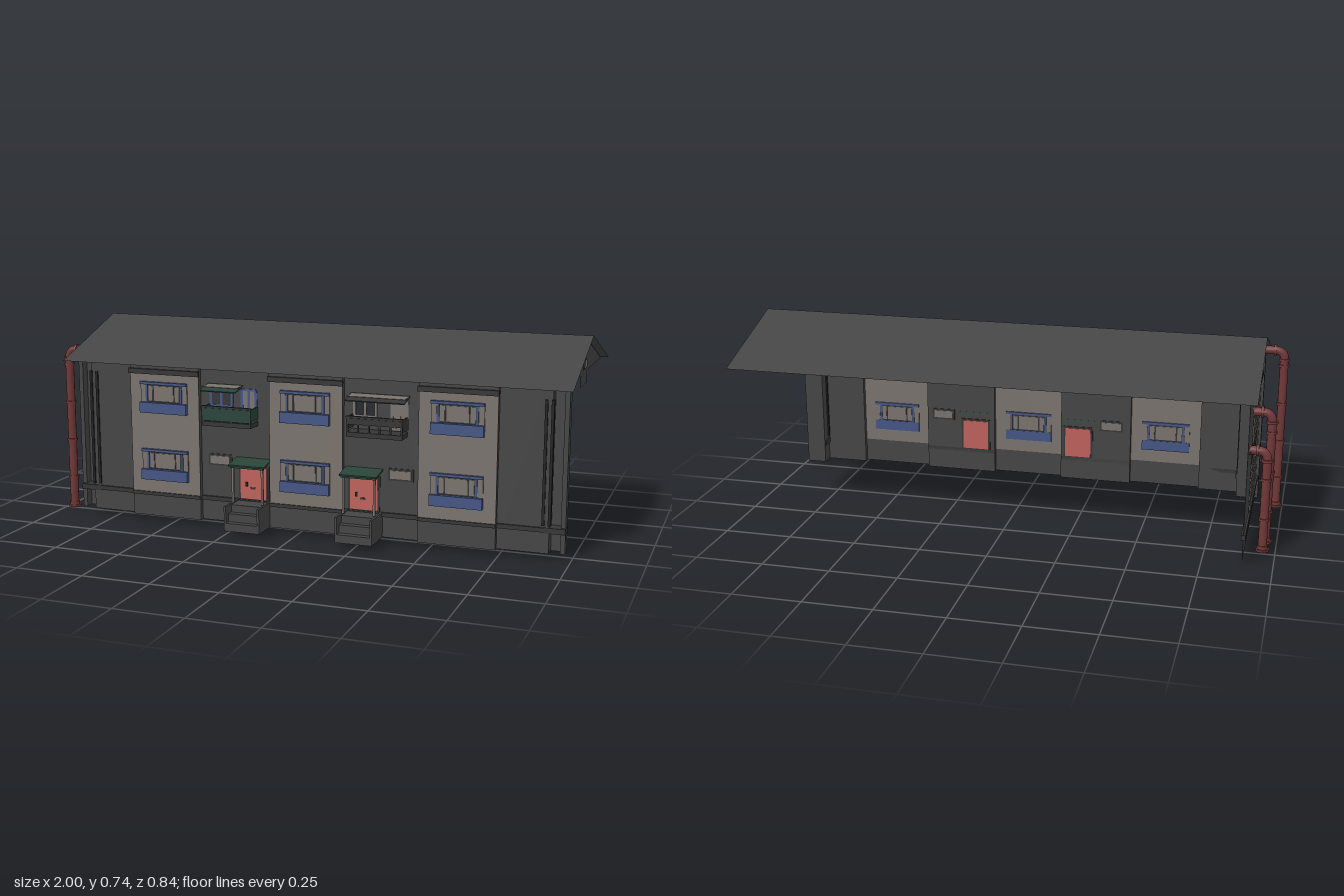
import * as THREE from 'three';

const mat = (name, color) => {
  const m = new THREE.MeshStandardMaterial({ color, side: THREE.DoubleSide });
  m.name = name;
  return m;
};

export function createModel() {
  const model = new THREE.Group();
  const wall = mat('dark concrete', 0x454545), trim = mat('dark trim', 0x363636);
  const black = mat('black lintel', 0x222222), beige = mat('beige plaster', 0x7a736e);
  const blue = mat('blue frame', 0x455684), green = mat('green metal', 0x29443a);
  const red = mat('red door', 0xbe625c), rust = mat('rusty pipe', 0x703837);

  const add = (name, geo, m, parent = model) => {
    const mesh = new THREE.Mesh(geo, m);
    mesh.name = name;
    parent.add(mesh);
    return mesh;
  };
  const box = (name, m, x0, x1, y0, y1, z0, z1, parent = model) => {
    const b = add(name, new THREE.BoxGeometry(x1 - x0, y1 - y0, z1 - z0), m, parent);
    b.position.set((x0 + x1) / 2, (y0 + y1) / 2, (z0 + z1) / 2);
    return b;
  };
  const group = (name) => {
    const g = new THREE.Group();
    g.name = name;
    model.add(g);
    return g;
  };
  // flat outline; holes are [x0, x1, y0, y1]
  const sheet = (pts, holes = []) => {
    const s = new THREE.Shape(pts.map(p => new THREE.Vector2(...p)));
    for (const [a, b, c, d] of holes) {
      s.holes.push(new THREE.Path([[a, c], [a, d], [b, d], [b, c]].map(p => new THREE.Vector2(...p))));
    }
    return new THREE.ShapeGeometry(s);
  };
  const rect = (a, b, c, d) => [[a, c], [b, c], [b, d], [a, d]];

  const Z0 = 0.295, Z1 = 0.315, Y0 = 0.02, TOP = 0.607, PL = 0.113;
  const ridgeZ = -0.025, SX = -0.892;

  // thin gable roof
  const slope = (name, zEave) => {
    const g = new THREE.BufferGeometry();
    const p = [[-0.92, 0.605, zEave], [1, 0.605, zEave], [1, 0.74, ridgeZ], [-0.92, 0.74, ridgeZ]];
    g.setAttribute('position', new THREE.Float32BufferAttribute(p.flat(), 3));
    g.setIndex(zEave > 0 ? [0, 1, 2, 0, 2, 3] : [0, 2, 1, 0, 3, 2]);
    g.computeVertexNormals();
    add(name, g, wall);
  };
  slope('frontRoofSlope', 0.37);
  slope('backRoofSlope', -0.42);

  // gables with a chamfered attic window; shape x stands for -z
  const gable = (name, x, drop) => {
    const g = group(name);
    const pts = drop
      ? [[-0.36, 0.605], [-0.046, 0.605], [-0.046, 0.56], [0.094, 0.56], [0.094, 0.605], [0.41, 0.605], [0.025, 0.737]]
      : [[-0.36, 0.605], [0.41, 0.605], [0.025, 0.737]];
    add('gableWall', sheet(pts), wall, g).rotation.y = Math.PI / 2;
    for (const [w, m, o] of [[0.035, trim, 0.003], [0.029, beige, 0.006]]) {
      const top = 0.625 + w, bot = 0.653 - w, c = 0.012;
      const pane = sheet([[-w, bot], [w, bot], [w, top - c], [w - c, top], [c - w, top], [-w, top - c]]);
      for (const s of [-1, 1]) {
        const p = add('atticWindow', pane, m, g);
        p.rotation.y = Math.PI / 2;
        p.position.set(s * o, 0, ridgeZ);
      }
    }
    g.position.x = x;
  };
  gable('leftGable', 0.97, true);
  gable('rightGable', SX, false);

  // recessed front wall sections between the bays, with balcony openings
  const bays = [-0.527, 0.035, 0.598], BW = 0.14;
  const openings = [[[-0.345, -0.26, 0.46, 0.53], [-0.22, -0.165, 0.42, 0.525]],
    [[0.215, 0.295, 0.46, 0.53], [0.355, 0.41, 0.42, 0.525]]];
  const spans = [[-0.82, -0.667, []], [-0.387, -0.105, openings[0]], [0.175, 0.458, openings[1]], [0.738, 0.9, []]];
  for (const [a, b, holes] of spans) {
    add('frontWall', sheet(rect(a, b, Y0, TOP), holes), wall).position.z = Z0;
    box('plinthLedge', trim, a, b, 0.097, PL, Z0, Z0 + 0.008);
  }

  // stepped corners with slim dark joints
  for (const [inner, mid, end] of [[-0.82, -0.845, SX], [0.9, 0.922, 0.972]]) {
    const lo = Math.min(inner, end), hi = Math.max(inner, end);
    box('cornerPilaster', wall, lo, hi, Y0, TOP, 0.245, 0.252);
    box('cornerReturn', wall, Math.min(inner, mid), Math.max(inner, mid), Y0, TOP, 0.25, Z0);
    box('cornerEdge', wall, end - 0.012, end + 0.005, Y0, TOP, 0.25, 0.285);
    box('cornerLedge', trim, lo - 0.006, hi + 0.006, 0.093, PL, 0.25, Z0 + 0.004);
    for (const x of [inner, mid]) box('cornerJoint', black, x - 0.005, x + 0.005, 0.12, 0.56, Z0 - 0.01, Z0 + 0.005);
  }

  // projecting plastered bays with two windows each
  const frontWindow = (x, y) => {
    const g = group('frontWindow');
    box('windowRecess', trim, -0.095, 0.095, 0.04, 0.117, -0.004, 0.003, g);
    box('blueSill', blue, -0.095, 0.095, 0, 0.04, -0.006, 0.018, g);
    box('blueHead', blue, -0.095, 0.095, 0.107, 0.117, -0.006, 0.012, g);
    for (const s of [-1, 1]) {
      box('blueJamb', blue, s * 0.07 - 0.004, s * 0.07 + 0.004, 0.04, 0.107, -0.006, 0.007, g);
      box('sidePane', beige, s * 0.055 - 0.009, s * 0.055 + 0.009, 0.046, 0.102, -0.006, 0.006, g);
      box('plasterJamb', beige, s * 0.085 - 0.01, s * 0.085 + 0.01, 0.04, 0.107, -0.005, 0.005, g);
    }
    box('centrePane', beige, -0.04, 0.04, 0.046, 0.102, -0.006, 0.006, g);
    g.position.set(x, y, Z1);
  };
  for (const x of bays) {
    const a = x - BW, b = x + BW;
    add('bayPlinth', sheet(rect(a, b, Y0, PL)), wall).position.z = Z1;
    add('bayPlaster', sheet(rect(a, b, PL, 0.564)), beige).position.z = Z1;
    add('bayTop', sheet(rect(a, b, 0.564, TOP)), wall).position.z = Z1;
    for (const s of [a, b]) box('bayReturn', wall, s - 0.001, s + 0.001, Y0, TOP, Z0, Z1 - 0.001);
    box('bayLintel', trim, a - 0.004, b + 0.004, 0.566, 0.585, Z1, Z1 + 0.01);
    box('bayLedge', trim, a, b, 0.1, PL, Z1, Z1 + 0.005);
    frontWindow(x, 0.163);
    frontWindow(x, 0.42);
  }

  // entrances: door, green canopy on posts, porch with steps
  for (const x of [-0.175, 0.253]) {
    const g = group('entrance');
    box('doorFrame', trim, -0.06, 0.06, PL, 0.243, -0.004, 0.004, g);
    box('door', red, -0.052, 0.052, 0.117, 0.236, -0.007, 0.008, g);
    box('doorHandle', black, -0.03, -0.022, 0.165, 0.18, 0.008, 0.013, g);
    box('doorPlate', trim, -0.012, 0.008, 0.155, 0.162, 0.008, 0.011, g);
    const roof = box('canopy', green, -0.07, 0.07, -0.003, 0.003, 0, 0.08, g);
    roof.position.set(0, 0.262, 0.038);
    roof.rotation.x = 0.17;
    box('canopyFascia', green, -0.066, 0.066, 0.246, 0.255, 0.066, 0.072, g);
    for (const s of [-1, 1]) {
      box('canopyPost', beige, s * 0.058 - 0.004, s * 0.058 + 0.004, PL, 0.252, 0.059, 0.067, g);
      box('porchCheek', wall, s * 0.065 - 0.004, s * 0.065 + 0.004, Y0, PL, 0, 0.125, g);
    }
    [[0.108, 0, 0.075], [0.08, 0.075, 0.1], [0.05, 0.1, 0.124]].forEach(([h, za, zb]) =>
      box('porchStep', wall, -0.062, 0.062, Y0, h, za, zb, g));
    g.position.set(x, 0, Z0);
  }

  // small service windows
  for (const x of [-0.31, 0.39]) {
    box('serviceWindowFrame', trim, x - 0.047, x + 0.047, 0.233, 0.277, Z0 - 0.003, Z0 + 0.003);
    box('serviceWindow', beige, x - 0.039, x + 0.039, 0.24, 0.27, Z0 - 0.005, Z0 + 0.006);
  }

  // balconies: slab, parapet, awning, window and door frames
  const balcony = (x0, x1, m, solid, holes, awnX) => {
    const g = group('balcony');
    box('slab', trim, x0, x1, 0.395, 0.412, Z0, 0.363, g);
    box('parapetFront', m, x0, x1, solid ? 0.415 : 0.44, 0.462, 0.358, 0.363, g);
    box('handrail', trim, x0, x1, 0.463, 0.47, 0.354, 0.365, g);
    for (const x of [x0, x1 - 0.005]) box('parapetSide', m, x, x + 0.005, 0.42, 0.465, Z0, 0.36, g);
    for (let i = 0; i <= 5; i++) {
      const x = x0 + 0.004 + (x1 - x0 - 0.008) * i / 5;
      box('railPost', trim, x - 0.003, x + 0.003, 0.41, 0.465, 0.355, 0.36, g);
    }
    const awning = box('awning', m, x0 - 0.004, awnX, -0.002, 0.002, 0, 0.075, g);
    awning.position.y = 0.532;
    awning.position.z = 0.33;
    awning.rotation.x = 0.2;
    box('awningEdge', beige, x0, awnX, 0.535, 0.542, Z0, 0.36, g).scale.y = 0.4;
    const fm = solid ? blue : beige;
    for (const [a, b, c, d] of holes) {
      for (const x of [a, (a + b) / 2, b]) box('frameUpright', fm, x - 0.005, x + 0.005, c, d, Z0 - 0.004, Z0 + 0.004, g);
      for (const y of [c, d]) box('frameRail', fm, a, b, y - 0.004, y + 0.004, Z0 - 0.004, Z0 + 0.004, g);
    }
    const [a, b, c, d] = holes[1];
    box('balconyDoor', beige, a, b, c, d, Z0 - 0.002, Z0 + 0.002, g);
    if (solid) {
      const [e, f, h, k] = holes[0];
      box('windowGlass', trim, e, f, h, k, Z0 - 0.002, Z0 + 0.002, g);
    }
  };
  balcony(-0.352, -0.158, green, true, openings[0], -0.216);
  balcony(0.206, 0.412, trim, false, openings[1], 0.42);

  // end wall with two grids of panes
  const end = group('endWall');
  box('endPanel', wall, SX - 0.001, SX + 0.001, Y0, TOP, -0.36, 0.25, end);
  box('endLedge', trim, SX - 0.008, SX + 0.008, 0.093, PL, -0.364, 0.297, end);
  box('endLintel', black, SX - 0.016, SX + 0.016, 0.571, 0.582, -0.174, 0.108, end);
  box('endLintelBase', trim, SX - 0.008, SX + 0.008, 0.557, 0.571, -0.174, 0.108, end);
  for (const [a, b] of [[PL, 0.31], [0.36, 0.557]]) box('paneFrame', trim, SX - 0.003, SX + 0.003, a, b, -0.151, 0.086, end);
  for (const y of [0.32, 0.345]) box('spandrel', wall, SX - 0.004, SX + 0.004, y, y + 0.018, -0.151, 0.086, end);
  for (const base of [0.134, 0.392]) {
    for (let r = 0; r < 5; r++) for (let c = 0; c < 6; c++) {
      const y = base + r * 0.0372, z = 0.0667 - c * 0.0396;
      box('pane', beige, SX - 0.006, SX + 0.006, y - 0.0135, y + 0.0135, z - 0.0155, z + 0.0155, end);
    }
  }

  // drain pipes: riser, elbow into the wall, collars and foot
  const pipe = (x, z, y0, y1) => {
    const g = group('drainPipe');
    const R = 0.035, path = new THREE.CurvePath();
    const V = (a, b) => new THREE.Vector3(a, b, z);
    path.add(new THREE.LineCurve3(V(x, y0), V(x, y1 - R)));
    path.add(new THREE.QuadraticBezierCurve3(V(x, y1 - R), V(x, y1), V(x + R, y1)));
    path.add(new THREE.LineCurve3(V(x + R, y1), V(SX + 0.004, y1)));
    add('pipeTube', new THREE.TubeGeometry(path, 60, 0.016, 12), rust, g);
    const collar = (px, py, r, h, flat) => {
      const c = add('pipeCollar', new THREE.CylinderGeometry(r, r, h, 12), rust, g);
      c.position.set(px, py, z);
      if (flat) c.rotation.z = Math.PI / 2;
    };
    collar(x, y0 + 0.004, 0.025, 0.008);
    collar(x, y0 + 0.014, 0.019, 0.014);
    for (let y = y0 + 0.12; y < y1 - R; y += 0.15) collar(x, y, 0.02, 0.01);
    collar(x, y1 - R, 0.021, 0.01);
    collar(x + R, y1, 0.021, 0.01, true);
    collar(SX, y1, 0.019, 0.01, true);
  };
  pipe(-0.975, 0.232, 0, 0.628);
  pipe(-0.96, -0.172, 0.015, 0.508);
  pipe(-0.955, -0.268, 0.022, 0.397);

  return model;
}
